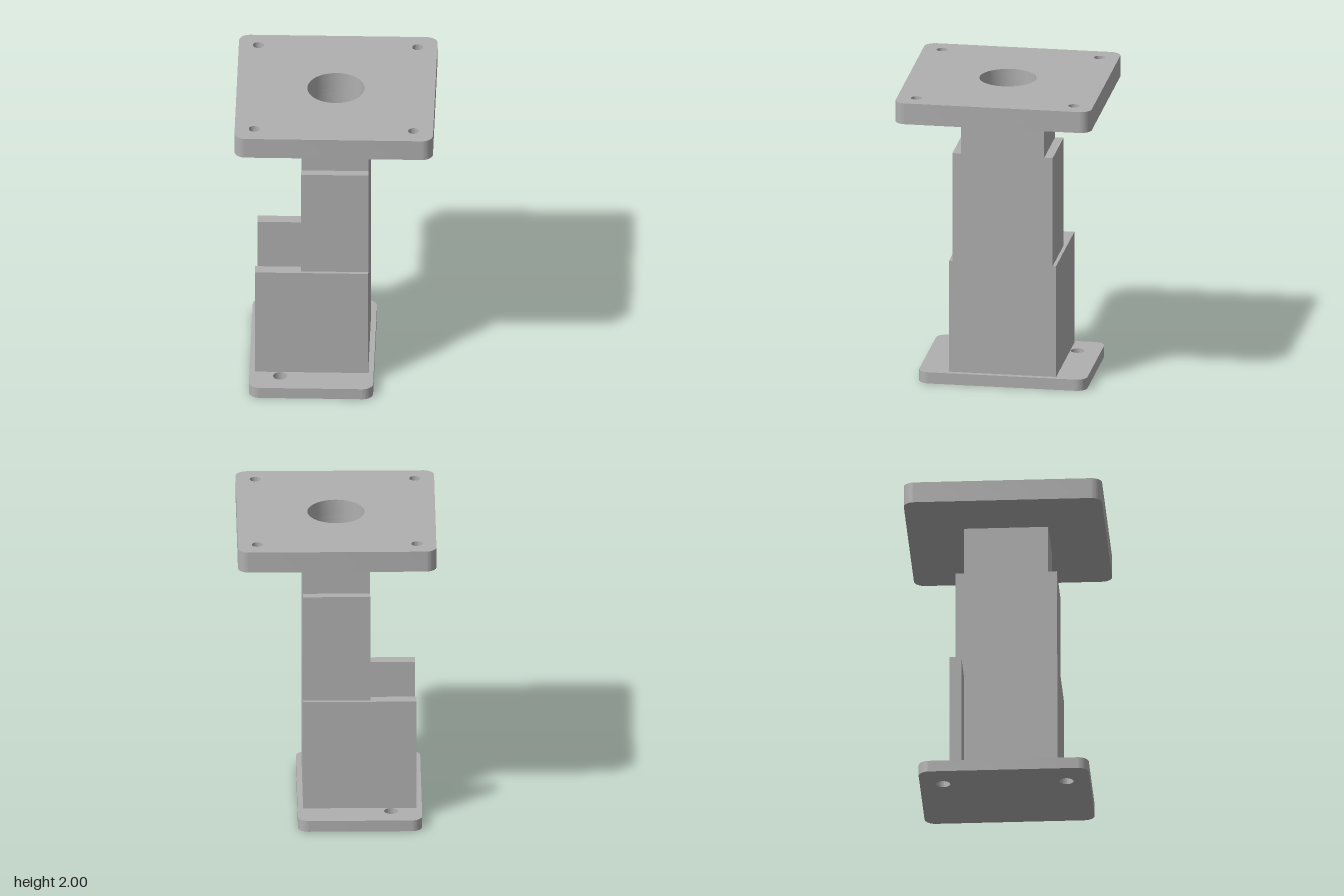
import * as THREE from 'three';
import { toCreasedNormals } from 'three/addons/utils/BufferGeometryUtils.js';

const grey = new THREE.MeshStandardMaterial({ color: 0xb0b0b0 });
grey.name = 'plainGrey';

// Rounded rectangle lying in plan, with round holes given as [x, z, radius]
function plateShape(width, depth, radius, holes) {
  const w = width / 2, d = depth / 2, r = radius, s = new THREE.Shape();
  if (r > 0) {
    s.moveTo(-w + r, -d);
    s.lineTo(w - r, -d);
    s.absarc(w - r, -d + r, r, -Math.PI / 2, 0);
    s.lineTo(w, d - r);
    s.absarc(w - r, d - r, r, 0, Math.PI / 2);
    s.lineTo(-w + r, d);
    s.absarc(-w + r, d - r, r, Math.PI / 2, Math.PI);
    s.lineTo(-w, -d + r);
    s.absarc(-w + r, -d + r, r, Math.PI, Math.PI * 1.5);
  } else {
    s.moveTo(-w, -d);
    s.lineTo(w, -d);
    s.lineTo(w, d);
    s.lineTo(-w, d);
  }
  s.closePath();
  for (const [x, z, hr] of holes) {
    const hole = new THREE.Path();
    hole.absarc(x, -z, hr, 0, Math.PI * 2, true);
    s.holes.push(hole);
  }
  return s;
}

export function createModel() {
  const model = new THREE.Group();
  model.name = 'pedestalBracket';

  function add(name, geometry) {
    const mesh = new THREE.Mesh(geometry, grey);
    mesh.name = name;
    model.add(mesh);
    return mesh;
  }

  // Upright slab between two heights
  function slab(name, shape, y0, y1, x = 0) {
    const g = new THREE.ExtrudeGeometry(shape, { depth: y1 - y0, bevelEnabled: false, curveSegments: 24 });
    g.rotateX(-Math.PI / 2);
    g.translate(x, y0, 0);
    return add(name, toCreasedNormals(g, 0.6));
  }

  // Box given by its limits
  function block(name, x0, x1, y0, y1, z0, z1) {
    const g = new THREE.BoxGeometry(x1 - x0, y1 - y0, z1 - z0);
    g.translate((x0 + x1) / 2, (y0 + y1) / 2, (z0 + z1) / 2);
    return add(name, g);
  }

  const bore = [0, 0, 0.183];
  const boreFloor = 1.4;
  const screwHoles = [];
  for (const x of [-0.51, 0.51]) for (const z of [-0.51, 0.51]) screwHoles.push([x, z, 0.035]);

  // Base plate with two through holes on its right side
  const baseHoles = [-0.395, 0.395].map((z) => [-0.2, z, 0.045]);
  slab('basePlate', plateShape(0.795, 1.09, 0.07, baseHoles), 0, 0.075, -0.1475);

  // Column: solid below, bored out at the top
  block('columnLower', -0.215, 0.215, 0.075, boreFloor, -0.27, 0.27);
  slab('columnUpper', plateShape(0.43, 0.54, 0, [bore]), boreFloor, 1.86);

  // Stepped side plates, mirrored front and back
  for (const [side, s] of [['front', 1], ['back', -1]]) {
    const span = (outer) => (s > 0 ? [0.27, outer] : [-outer, -0.27]);
    block(side + 'MiddlePlate', -0.215, 0.215, 0.82, 1.545, ...span(0.325));
    block(side + 'Wing', -0.51, 0.215, 0.075, 0.82, ...span(0.347));
  }

  // Top plate: lower layer closes the blind screw holes
  slab('topPlateFloor', plateShape(1.27, 1.27, 0.07, [bore]), 1.86, 1.89);
  slab('topPlate', plateShape(1.27, 1.27, 0.07, [bore, ...screwHoles]), 1.89, 2);

  return model;
}
